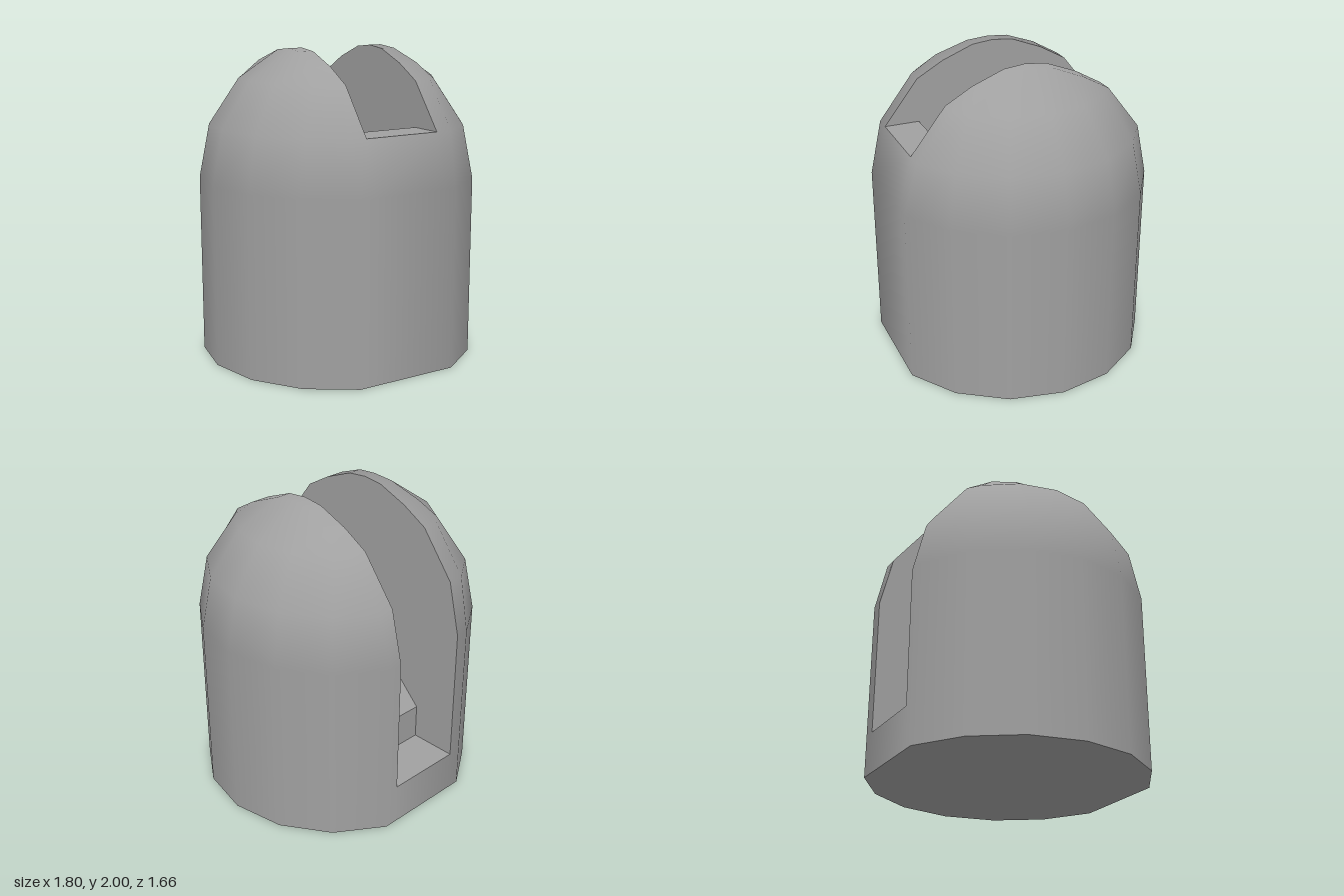
import * as THREE from 'three';

const R = 0.9, SPRING = 1.17, SLOT = 0.257; // dome radius, height where dome starts, half slot width
const C = Math.cos(Math.PI / 8) * R, S = Math.sin(Math.PI / 8) * R, D = Math.SQRT1_2 * R;

// Surface through a grid of points; it faces along (row step) x (column step).
// Round surfaces take their normals from the ideal cylinder and dome.
function gridSurface(rows, round) {
  const n = rows[0].length, points = rows.flat(), index = [];
  const add = (...corners) => {
    const p = corners.map((q) => new THREE.Vector3(...points[q]));
    if (new THREE.Triangle(...p).getArea() > 1e-6) index.push(...corners);
  };
  for (let r = 0; r < rows.length - 1; r++) {
    for (let c = 0; c < n - 1; c++) {
      const a = r * n + c;
      add(a, a + n, a + 1);
      add(a + 1, a + n, a + n + 1);
    }
  }
  const g = new THREE.BufferGeometry();
  g.setAttribute('position', new THREE.Float32BufferAttribute(points.flat(), 3));
  g.setIndex(index);
  if (round) {
    const normals = points.flatMap(([x, y, z]) => new THREE.Vector3(x, Math.max(0, y - SPRING), z).normalize().toArray());
    g.setAttribute('normal', new THREE.Float32BufferAttribute(normals, 3));
    return g;
  }
  const flat = g.toNonIndexed();
  flat.computeVertexNormals();
  return flat;
}

// Half rows as [x, z] from the middle of the cheek towards the front
const baseRing = [[R, 0], [C, S], [D, D], [S, C], [SLOT, C]];
const lowRing = [[C, 0], [0.768, 0.318], [0.588, 0.588], [0.363, 0.748], [SLOT, 0.748]];
const highRing = [[D, 0], [0.588, 0.243], [0.45, 0.45], [0.37, 0.52], [SLOT, 0.52]];
// Ridge beside the slot as [x, y, z]
const ridge = [[S, 2, 0], [0.355, 1.985, 0.14], [0.387, 1.905, 0.345], [0.37, SPRING + D, 0.52], [SLOT, SPRING + D, 0.52]];

const atHeight = (ring, y) => ring.map(([x, z]) => [x, y, z]);
const backToFront = (half) => [...half.slice(1).reverse().map(([x, y, z]) => [x, y, -z]), ...half];

function cheekGeometry(side) {
  const rows = [
    atHeight(baseRing, 0),
    atHeight(baseRing, SPRING),
    atHeight(lowRing, SPRING + S),
    atHeight(highRing, SPRING + D),
    ridge,
    ridge.map(([, y, z]) => [SLOT, y, z]),
  ].map(backToFront);
  if (side > 0) return gridSurface(rows, true);
  return gridSurface(rows.map((row) => row.map(([x, y, z]) => [-x, y, z]).reverse()), true);
}

// Stepped slot floor as [z, y], back to front
const floorProfile = [
  [-C, 0.27], [-0.52, 0.27], [-0.52, 0.5], [-0.3, 0.72], [0.52, 0.72], [0.52, SPRING + S], [0.748, SPRING + S],
];
const across = (profile) => profile.map(([z, y]) => [[-SLOT, y, z], [SLOT, y, z]]);

// Slot side wall between the stepped floor and the dome outline
function wallGeometry(side) {
  const dome = backToFront(ridge.slice(0, 4)).reverse().map(([, y, z]) => [z, y]);
  const outline = [...floorProfile, ...dome, [-0.748, SPRING + S], [-C, SPRING]];
  const shape = new THREE.Shape(outline.map(([z, y]) => new THREE.Vector2(side * z, y)));
  return new THREE.ShapeGeometry(shape).rotateY(-side * Math.PI / 2).translate(side * SLOT, 0, 0);
}

export function createModel() {
  const model = new THREE.Group();
  model.name = 'slottedDome';
  const material = new THREE.MeshStandardMaterial({ color: 0xa0a0a0 });
  const add = (name, geometry) => {
    const mesh = new THREE.Mesh(geometry, material);
    mesh.name = name;
    model.add(mesh);
  };

  // Two rounded cheeks with their slot walls
  for (const [name, side] of [['left', 1], ['right', -1]]) {
    add(name + 'Cheek', cheekGeometry(side));
    add(name + 'SlotWall', wallGeometry(side));
  }

  // Middle: floor of the slot, panels below its ends
  add('slotFloor', gridSurface(across(floorProfile), false));
  add('backPanel', gridSurface(across([[-C, 0], [-C, 0.27]]), true));
  add('frontPanel', gridSurface(across([[0.748, SPRING + S], [C, SPRING], [C, 0]]), true));

  // Flat underside
  const right = backToFront(atHeight(baseRing.slice(0, 4), 0)).map(([x, , z]) => new THREE.Vector2(x, z));
  const left = right.map((p) => new THREE.Vector2(-p.x, p.y)).reverse();
  add('underside', new THREE.ShapeGeometry(new THREE.Shape([...right, ...left])).rotateX(Math.PI / 2));

  return model;
}
